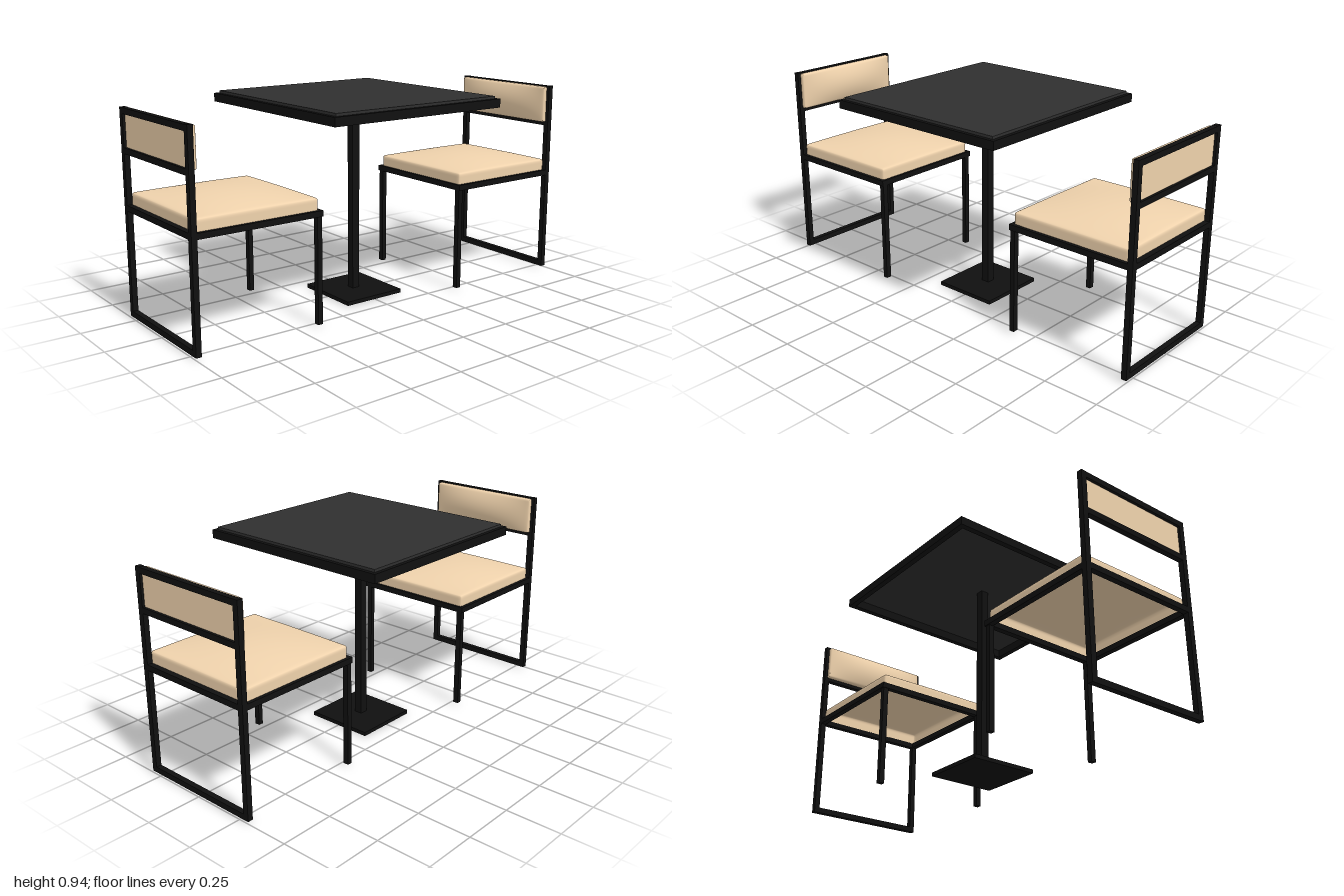
import * as THREE from 'three';
import { mergeVertices } from 'three/addons/utils/BufferGeometryUtils.js';

const black = new THREE.MeshStandardMaterial({ color: 0x101010 });
const slate = new THREE.MeshStandardMaterial({ color: 0x2f2f2f });
const tan = new THREE.MeshStandardMaterial({ color: 0xefd2ac, side: THREE.DoubleSide });

// Box given by its min and max corners
function bar(parent, name, [x0, y0, z0], [x1, y1, z1], material = black) {
  const mesh = new THREE.Mesh(new THREE.BoxGeometry(x1 - x0, y1 - y0, z1 - z0), material);
  mesh.position.set((x0 + x1) / 2, (y0 + y1) / 2, (z0 + z1) / 2);
  mesh.name = name;
  parent.add(mesh);
}

// Upholstery shell, open below, standing on y = 0; its upper face swells by "bulge"
function cushionGeometry(w, h, d, r, bulge) {
  const box = new THREE.BoxGeometry(2, 2, 2, 24, 10, 24);
  const under = box.groups[3];
  box.setIndex([...box.index.array].filter((_, i) => i < under.start || i >= under.start + under.count));
  box.clearGroups();
  box.deleteAttribute('uv');
  box.deleteAttribute('normal');
  const geo = mergeVertices(box);
  const half = new THREE.Vector3(w / 2, h / 2, d / 2);
  const max = half.clone().subScalar(r);
  const min = new THREE.Vector3(-max.x, -half.y, -max.z);
  const p = new THREE.Vector3(), core = new THREE.Vector3();
  const pos = geo.attributes.position;
  const ease = t => Math.sin(t * Math.PI / 2); // more points near the edges
  for (let i = 0; i < pos.count; i++) {
    p.fromBufferAttribute(pos, i);
    p.set(ease(p.x), ease(p.y), ease(p.z)).multiply(half);
    core.copy(p).clamp(min, max);
    p.sub(core).setLength(r).add(core);
    const u = p.x / half.x, v = p.z / half.z;
    const lift = Math.max(0, p.y / half.y) * bulge * (1 - u * u) * (1 - v * v);
    pos.setXYZ(i, p.x, p.y + half.y + lift, p.z);
  }
  geo.computeVertexNormals();
  return geo;
}

// Chair on the -x side, facing +x
function createChair(name) {
  const chair = new THREE.Group();
  chair.name = name;
  const back = -1, inner = -0.975, front = -0.387, Z = 0.3, t = 0.026;

  for (const s of [-1, 1]) {
    const lo = s > 0 ? Z - t : -Z, hi = lo + t, inset = s * 0.006;
    bar(chair, 'backPost', [back, 0.009, lo], [inner, 0.93, hi]);
    bar(chair, 'frontLeg', [front - t, 0.009, lo - inset], [front - 0.003, 0.49, hi - inset]);
    bar(chair, 'seatSideRail', [inner, 0.485, lo], [front, 0.511, hi]);
  }
  // Cross rails between the back posts
  const rails = { floorRail: 0.009, seatBackRail: 0.485, lowerBackRail: 0.734, topRail: 0.903 };
  for (const [rail, y] of Object.entries(rails))
    bar(chair, rail, [back, y, t - Z], [inner, y + t, Z - t]);
  bar(chair, 'seatFrontRail', [front - t, 0.485, t - Z], [front, 0.511, Z - t]);

  const seat = new THREE.Mesh(cushionGeometry(0.576, 0.055, 0.568, 0.012, 0.028), tan);
  seat.name = 'seatCushion';
  seat.position.set(-0.687, 0.509, 0);
  chair.add(seat);

  const pad = new THREE.Mesh(cushionGeometry(0.174, 0.022, 0.568, 0.008, 0.026), tan);
  pad.name = 'backCushion';
  pad.rotation.z = -Math.PI / 2;
  pad.position.set(-0.977, 0.838, 0);
  chair.add(pad);
  // Flat panel filling the back frame behind the pad
  bar(chair, 'backPanel', [-0.988, 0.76, t - Z], [-0.976, 0.903, Z - t], tan);
  return chair;
}

function createTable() {
  const table = new THREE.Group();
  table.name = 'table';
  const X = 0.454, Z = 0.476, w = 0.025, y0 = 0.889, y1 = 0.928, c = -0.003;
  bar(table, 'basePlate', [-0.155, 0, c - 0.163], [0.155, 0.018, c + 0.163]);
  bar(table, 'post', [-0.019, 0.018, c - 0.019], [0.019, y1, c + 0.019]);
  // Hollow rim under the top
  for (const s of [-1, 1]) {
    const x = s > 0 ? X - w : -X, z = s > 0 ? Z - w : -Z;
    bar(table, 'rimSide', [x, y0, -Z], [x + w, y1, Z]);
    bar(table, 'rimEnd', [w - X, y0, z], [X - w, y1, z + w]);
  }
  bar(table, 'tableTop', [-0.436, y1, -0.459], [0.436, 0.94, 0.459], slate);
  return table;
}

export function createModel() {
  const model = new THREE.Group();
  model.name = 'diningSet';
  const rightChair = createChair('rightChair');
  const leftChair = createChair('leftChair');
  leftChair.rotation.y = Math.PI;
  model.add(createTable(), rightChair, leftChair);
  return model;
}
